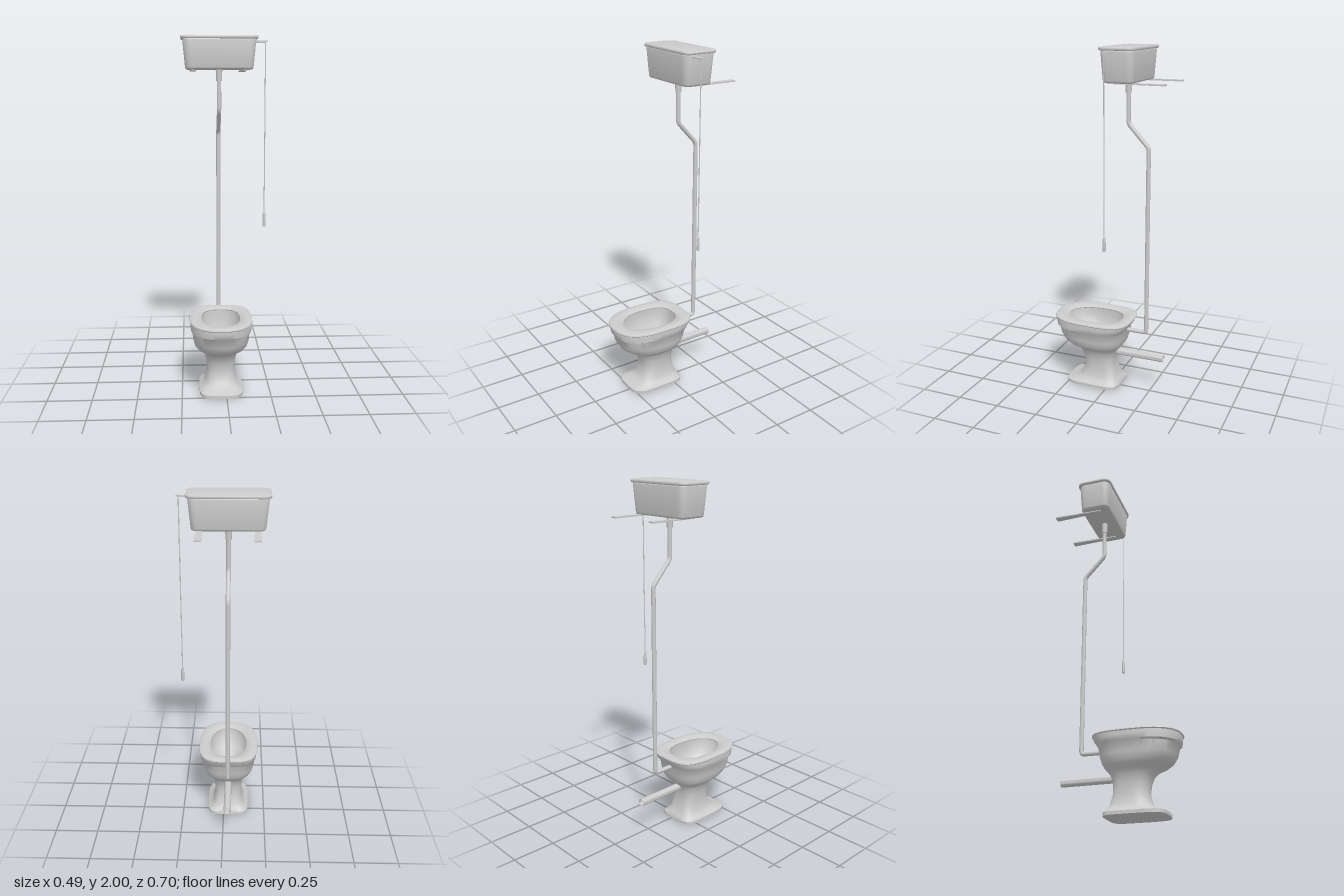
import * as THREE from 'three';
import { toCreasedNormals } from 'three/addons/utils/BufferGeometryUtils.js';

const CX = -0.028; // centre line of the bowl, cistern and pipes
const V = (x, y, z) => new THREE.Vector3(x, y, z);
const material = new THREE.MeshStandardMaterial({ color: 0xcccccc, side: THREE.DoubleSide });

function add(group, name, geometry, x = 0, y = 0, z = 0) {
  const mesh = new THREE.Mesh(geometry, material);
  mesh.name = name;
  mesh.position.set(x, y, z);
  group.add(mesh);
}

// Loft of egg-shaped rings, squarer at the back than at the front.
// Row: [y, half width, z front, z back, roundness (2 = ellipse, higher = squarer)]
function loft(rows, segments = 40) {
  const positions = [], index = [];
  for (const [y, hw, zf, zb, n] of rows) {
    for (let j = 0; j < segments; j++) {
      const t = (j / segments) * Math.PI * 2, c = Math.cos(t), s = Math.sin(t);
      const e = 2 / (s >= 0 ? n : n * 1.35);
      positions.push(
        CX + hw * Math.sign(c) * Math.abs(c) ** e, y,
        (zf + zb) / 2 + ((zf - zb) / 2) * Math.sign(s) * Math.abs(s) ** e);
    }
  }
  for (let i = 0; i < rows.length - 1; i++) {
    for (let j = 0; j < segments; j++) {
      const k = (j + 1) % segments;
      const a = i * segments + j, b = a + segments, c = i * segments + k, d = c + segments;
      index.push(a, b, c, c, b, d);
    }
  }
  const g = new THREE.BufferGeometry();
  g.setAttribute('position', new THREE.Float32BufferAttribute(positions, 3));
  g.setIndex(index);
  return toCreasedNormals(g, 0.75);
}

// Upright rounded box with bevelled edges, scaled in plan towards its bottom
function roundedTray(w, d, h, r, bevel, taperX = 1, taperZ = 1) {
  const x = w / 2 - bevel, y = d / 2 - bevel, q = r - bevel;
  const s = new THREE.Shape();
  s.moveTo(-x + q, -y);
  s.lineTo(x - q, -y).absarc(x - q, -y + q, q, -Math.PI / 2, 0);
  s.lineTo(x, y - q).absarc(x - q, y - q, q, 0, Math.PI / 2);
  s.lineTo(-x + q, y).absarc(-x + q, y - q, q, Math.PI / 2, Math.PI);
  s.lineTo(-x, -y + q).absarc(-x + q, -y + q, q, Math.PI, Math.PI * 1.5);
  const g = new THREE.ExtrudeGeometry(s, {
    depth: h - 2 * bevel, bevelThickness: bevel, bevelSize: bevel, bevelSegments: 3, curveSegments: 5,
  });
  g.rotateX(-Math.PI / 2).translate(0, bevel, 0);
  const p = g.attributes.position;
  for (let i = 0; i < p.count; i++) {
    const t = p.getY(i) / h;
    p.setX(i, p.getX(i) * (taperX + (1 - taperX) * t));
    p.setZ(i, p.getZ(i) * (taperZ + (1 - taperZ) * t));
  }
  return toCreasedNormals(g, 0.7);
}

// Pipe through points with a short bend at every inner corner
function bentPipe(points, radius, bend) {
  const path = new THREE.CurvePath();
  let from = points[0];
  for (let i = 1; i < points.length - 1; i++) {
    const p = points[i];
    const before = p.clone().add(points[i - 1].clone().sub(p).setLength(bend));
    const after = p.clone().add(points[i + 1].clone().sub(p).setLength(bend));
    path.add(new THREE.LineCurve3(from, before));
    path.add(new THREE.QuadraticBezierCurve3(before, p, after));
    from = after;
  }
  path.add(new THREE.LineCurve3(from, points[points.length - 1]));
  return new THREE.TubeGeometry(path, 180, radius, 12);
}

// Turned part from [radius, y] pairs
function turned(profile, sides) {
  const points = profile.map(([r, y]) => new THREE.Vector2(r, y));
  return toCreasedNormals(new THREE.LatheGeometry(points, sides), 0.7);
}

// Flat strip running towards -z, tapering between two widths
function strip(w0, w1, length, thickness) {
  const s = new THREE.Shape([
    new THREE.Vector2(-w0 / 2, 0), new THREE.Vector2(w0 / 2, 0),
    new THREE.Vector2(w1 / 2, length), new THREE.Vector2(-w1 / 2, length)]);
  return new THREE.ExtrudeGeometry(s, { depth: thickness, bevelEnabled: false }).rotateX(-Math.PI / 2);
}

export function createModel() {
  const model = new THREE.Group();
  model.name = 'highLevelToilet';

  // Pedestal and bowl: up the outside, over the rim, down the inside
  add(model, 'bowl', loft([
    [0, 0.001, 0.101, 0.099, 2],
    [0, 0.123, 0.268, -0.065, 4],
    [0.018, 0.123, 0.268, -0.065, 4],
    [0.036, 0.1, 0.205, -0.05, 3.5],
    [0.06, 0.087, 0.182, -0.037, 3],
    [0.12, 0.08, 0.167, -0.022, 2.6],
    [0.17, 0.084, 0.175, -0.022, 2.4],
    [0.21, 0.093, 0.192, -0.032, 2.3],
    [0.235, 0.11, 0.22, -0.048, 2.2],
    [0.255, 0.137, 0.265, -0.066, 2.2],
    [0.275, 0.15, 0.295, -0.078, 2.2],
    [0.31, 0.159, 0.316, -0.088, 2.3],
    [0.362, 0.164, 0.328, -0.096, 2.4],
    [0.37, 0.172, 0.338, -0.1, 2.5],
    [0.395, 0.174, 0.343, -0.118, 2.5],
    [0.415, 0.174, 0.343, -0.125, 2.5],
    [0.415, 0.12, 0.285, -0.065, 2.1],
    [0.37, 0.122, 0.28, -0.062, 2],
    [0.31, 0.105, 0.24, -0.05, 2],
    [0.21, 0.03, 0.085, -0.015, 2],
    [0.17, 0.027, 0.075, -0.01, 2],
    [0.16, 0.001, 0.036, 0.034, 2],
  ]));

  // Seat ring with a softly domed top
  add(model, 'seat', loft([
    [0.414, 0.113, 0.274, -0.062, 2],
    [0.414, 0.174, 0.345, -0.125, 2.5],
    [0.419, 0.178, 0.35, -0.13, 2.5],
    [0.425, 0.176, 0.348, -0.128, 2.5],
    [0.431, 0.163, 0.334, -0.114, 2.4],
    [0.432, 0.145, 0.312, -0.095, 2.3],
    [0.427, 0.124, 0.287, -0.073, 2.1],
    [0.419, 0.111, 0.272, -0.06, 2],
    [0.414, 0.113, 0.274, -0.062, 2],
  ]));

  // Waste pipe, open at the back
  const waste = turned([[0.021, 0], [0.021, 0.318], [0.018, 0.318], [0.018, 0.06]], 20);
  add(model, 'wastePipe', waste.rotateX(-Math.PI / 2), CX, 0.209, -0.005);

  // Flush pipe and its collar under the cistern
  add(model, 'flushPipe', bentPipe([
    V(CX, 1.8, -0.094), V(CX, 1.585, -0.094), V(CX, 1.455, -0.214),
    V(CX, 0.36, -0.214), V(CX, 0.36, -0.085)], 0.0125, 0.018));
  add(model, 'pipeCollar', new THREE.CylinderGeometry(0.019, 0.016, 0.065, 16), CX, 1.785, -0.094);

  // Cistern and lid
  add(model, 'cistern', roundedTray(0.414, 0.19, 0.172, 0.038, 0.012, 0.92, 0.9), CX, 1.815, -0.0975);
  add(model, 'cisternLid', roundedTray(0.434, 0.204, 0.018, 0.04, 0.006), CX, 1.982, -0.0975);

  // Brackets carrying the cistern from the wall
  for (const side of [-1, 1]) {
    add(model, side < 0 ? 'rightBracket' : 'leftBracket',
      strip(0.02, 0.038, 0.283, 0.008), CX + side * 0.147, 1.809, -0.07);
  }

  // Flush lever with its pull chain and handle
  const lever = strip(0.04, 0.014, 0.083, 0.008).rotateY(-Math.PI / 2);
  add(model, 'lever', lever, 0.16, 1.965, -0.057);
  add(model, 'pullChain', new THREE.CylinderGeometry(0.003, 0.003, 0.975, 8), 0.231, 1.482, -0.057);
  const grip = turned([[0, 0], [0.008, 0], [0.0095, 0.01], [0.009, 0.05], [0.007, 0.08], [0, 0.085]], 12);
  add(model, 'pullHandle', grip, 0.231, 0.92, -0.057);

  return model;
}
